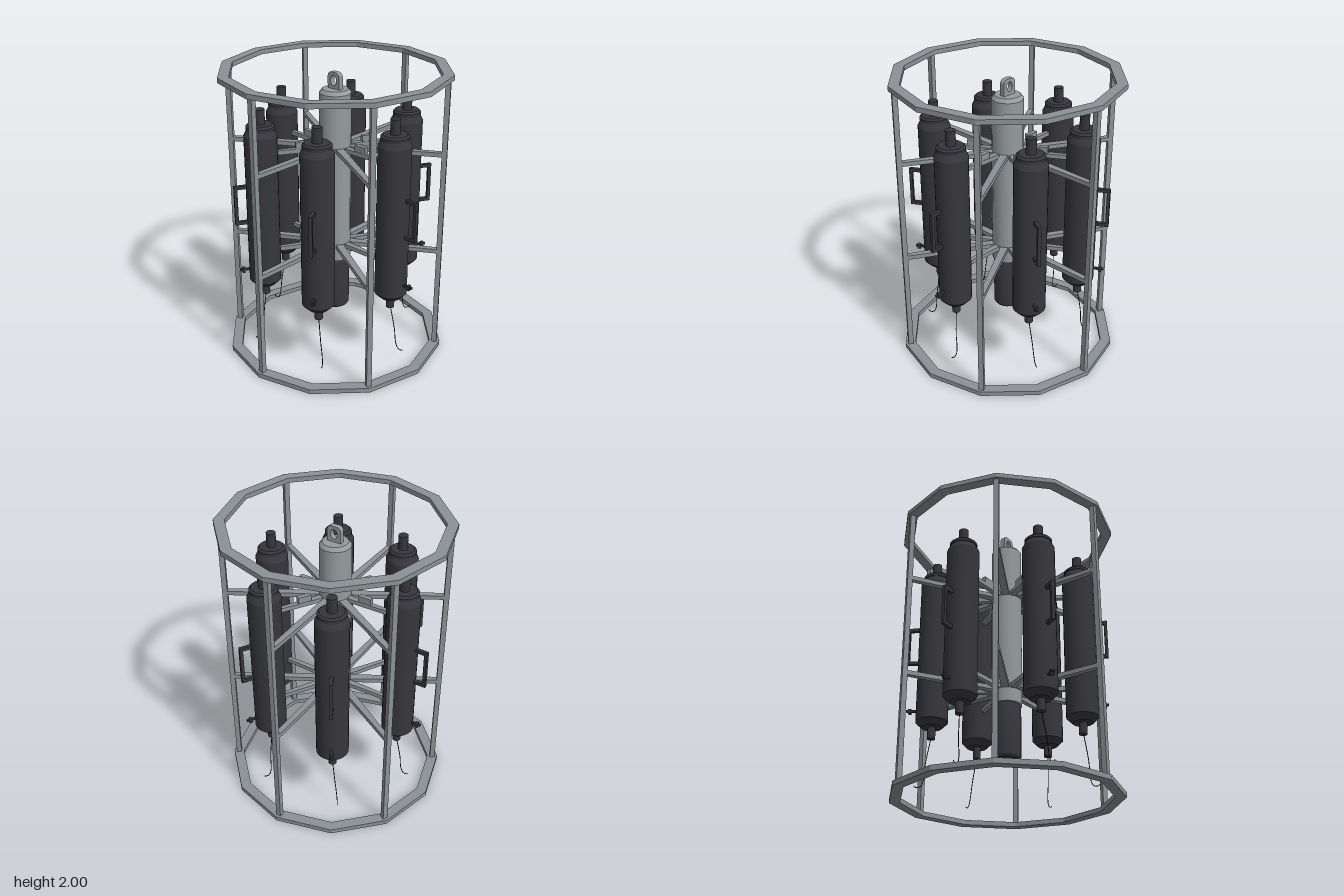
import * as THREE from 'three';
import { toCreasedNormals } from 'three/addons/utils/BufferGeometryUtils.js';

const material = (name, color) => Object.assign(new THREE.MeshStandardMaterial({ color }), { name });

export function createModel() {
  const steel = material('frame grey', 0x8b9195);
  const housing = material('housing grey', 0x959b9e);
  const dark = material('charcoal plastic', 0x37363c);
  const black = material('wire black', 0x1c1c1f);
  const model = new THREE.Group();
  model.name = 'waterSamplerRosette';

  const add = (parent, name, geo, mat, x = 0, y = 0, z = 0) => {
    const mesh = new THREE.Mesh(geo, mat);
    mesh.name = name;
    mesh.position.set(x, y, z);
    parent.add(mesh);
    return mesh;
  };
  const box = (parent, name, mat, w, h, d, x, y, z = 0) =>
    add(parent, name, new THREE.BoxGeometry(w, h, d), mat, x, y, z);
  const lathe = (profile, sides) => toCreasedNormals(
    new THREE.LatheGeometry(profile.map(([r, y]) => new THREE.Vector2(r, y)), sides), 0.45);

  // twelve-sided hoops at top and bottom
  const polygon = (Type, r) => new Type(Array.from({ length: 12 }, (_, i) =>
    new THREE.Vector2(Math.cos(i * Math.PI / 6) * r, Math.sin(i * Math.PI / 6) * r)));
  const hoop = polygon(THREE.Shape, 0.768);
  hoop.holes.push(polygon(THREE.Path, 0.695));
  const hoopGeo = new THREE.ExtrudeGeometry(hoop, { depth: 0.033, bevelEnabled: false }).rotateX(-Math.PI / 2);
  add(model, 'bottomHoop', hoopGeo, steel);
  add(model, 'topHoop', hoopGeo, steel, 0, 1.967, 0);

  // spoke along +x, narrowing outward
  const spoke = (from, to, inner, outer) => {
    const geo = new THREE.BoxGeometry(to - from, 0.03, 1).translate((from + to) / 2, 0, 0);
    const p = geo.attributes.position;
    for (let i = 0; i < p.count; i++) p.setZ(i, p.getZ(i) * (p.getX(i) < (from + to) / 2 ? inner : outer));
    geo.computeVertexNormals();
    return geo;
  };
  const longSpoke = spoke(0.06, 0.725, 0.055, 0.035);
  const shortSpoke = spoke(0.06, 0.43, 0.045, 0.026);

  // uprights with their spokes
  for (let i = 0; i < 6; i++) {
    const side = new THREE.Group();
    side.name = 'frameSide';
    side.rotation.y = -(i + 0.5) * Math.PI / 3;
    box(side, 'upright', steel, 0.035, 1.95, 0.035, 0.73, 1);
    for (const y of [0.76, 1.465]) add(side, 'longSpoke', longSpoke, steel, 0, y, 0);
    model.add(side);
  }

  // sample bottle shapes
  const bottleGeo = lathe([[0, 0.43], [0.028, 0.43], [0.028, 0.51], [0.07, 0.51], [0.11, 0.55], [0.11, 1.6],
    [0.088, 1.642], [0.094, 1.642], [0.094, 1.662], [0.08, 1.675], [0.033, 1.675], [0.033, 1.775], [0, 1.775]], 24);
  const wirePath = new THREE.CatmullRomCurve3([[0, 0.44, 0], [0.028, 0.25, -0.02], [0.034, 0.14, -0.031],
    [0.05, 0.095, -0.035], [0.075, 0.087, -0.036], [0.095, 0.1, -0.037]].map(p => new THREE.Vector3(...p)));
  const wireGeo = new THREE.TubeGeometry(wirePath, 24, 0.003, 5);

  for (let i = 0; i < 6; i++) {
    const station = new THREE.Group();
    station.name = 'bottleStation';
    station.rotation.y = -i * Math.PI / 3;
    add(station, 'bottle', bottleGeo, dark, 0.508, 0, 0);
    add(station, 'hookedWire', wireGeo, black, 0.508, 0, 0);
    // handle
    box(station, 'handleGrip', dark, 0.022, 0.28, 0.024, 0.69, 1.12);
    for (const y of [0.992, 1.248]) box(station, 'handleArm', dark, 0.09, 0.024, 0.024, 0.645, y);
    // drain tap
    box(station, 'tapStem', dark, 0.08, 0.014, 0.018, 0.645, 0.635);
    box(station, 'tapKnob', dark, 0.02, 0.034, 0.028, 0.66, 0.632);
    // mounting
    for (const y of [0.76, 1.465]) add(station, 'shortSpoke', shortSpoke, steel, 0, y, 0);
    box(station, 'releaseBlock', steel, 0.09, 0.05, 0.032, 0.23, 1.498);
    model.add(station);
  }

  // central column
  add(model, 'centralHousing', lathe([[0, 0.65], [0.107, 0.65], [0.107, 1.84], [0.086, 1.865], [0, 1.865]], 16), housing);
  add(model, 'lowerSensor', lathe([[0, 0.268], [0.088, 0.268], [0.098, 0.285], [0.098, 0.63], [0.088, 0.652], [0, 0.652]], 20), dark);

  // lifting eye
  const eye = new THREE.Shape();
  eye.moveTo(-0.05, 1.85);
  eye.lineTo(0.05, 1.85);
  eye.lineTo(0.05, 1.945);
  eye.absarc(0.02, 1.945, 0.03, 0, Math.PI / 2);
  eye.lineTo(-0.02, 1.975);
  eye.absarc(-0.02, 1.945, 0.03, Math.PI / 2, Math.PI);
  const hole = new THREE.Path();
  hole.absellipse(0, 1.92, 0.025, 0.034, 0, Math.PI * 2);
  eye.holes.push(hole);
  add(model, 'liftingEye', new THREE.ExtrudeGeometry(eye, { depth: 0.036, bevelEnabled: false, curveSegments: 8 }),
    housing, 0, 0, -0.018);
  return model;
}
